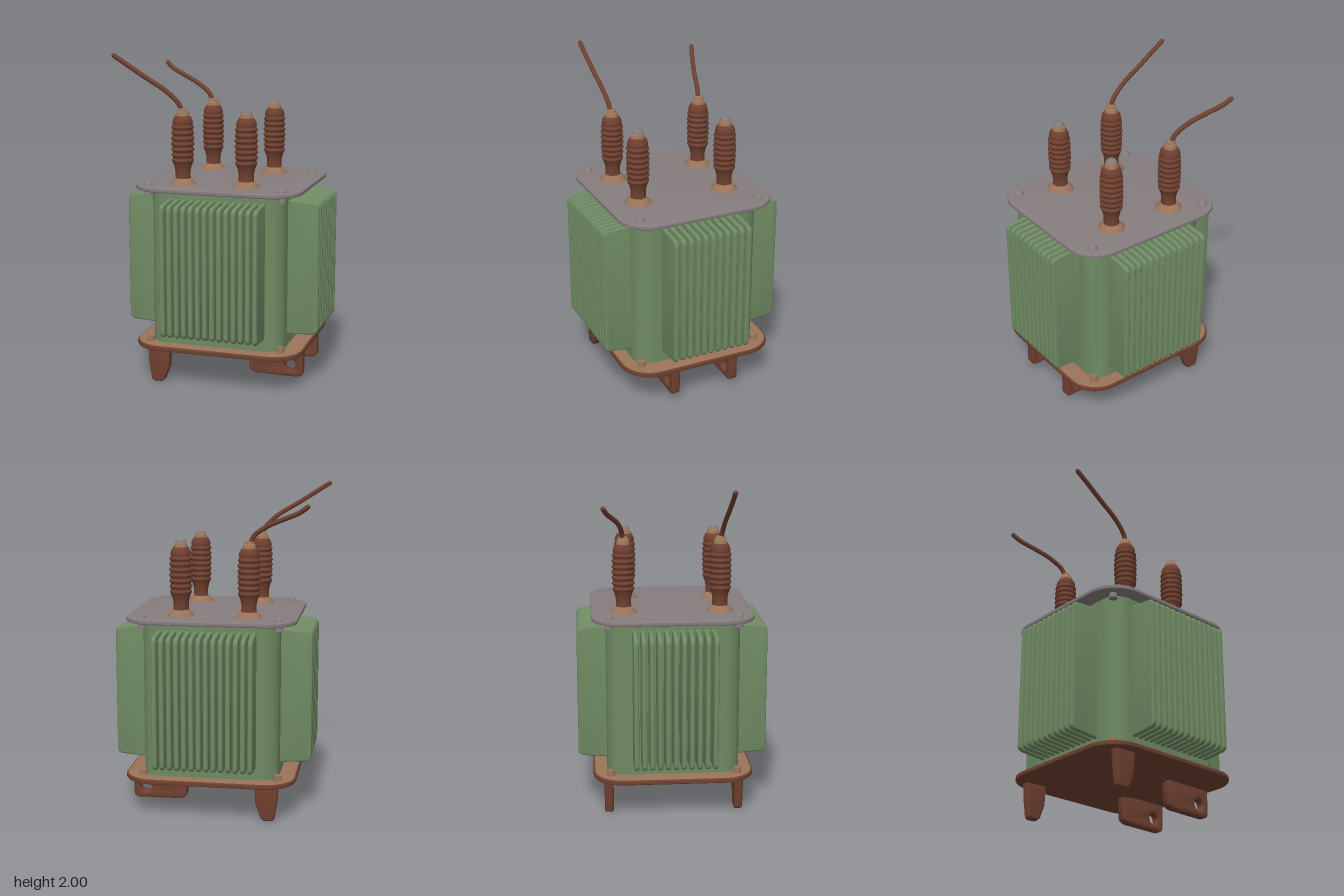
import * as THREE from 'three';
import { toCreasedNormals } from 'three/addons/utils/BufferGeometryUtils.js';

const mat = (name, color) => {
  const m = new THREE.MeshStandardMaterial({ color });
  m.name = name;
  return m;
};

export function createModel() {
  const green = mat('green paint', 0x6f8a63);
  const grey = mat('grey steel', 0x857c7d);
  const rust = mat('rust brown', 0x6f4030);
  const tan = mat('worn tan', 0x997359);
  const CX = 0.03; // centre of the tank in x

  const root = new THREE.Group();
  root.name = 'transformer';
  const add = (parent, name, geometry, material, x = 0, y = 0, z = 0) => {
    const m = new THREE.Mesh(geometry, material);
    m.name = name;
    m.position.set(x, y, z);
    parent.add(m);
    return m;
  };

  // Extrusion centred on its thickness, with a rounded rim inside the outline
  const slab = (shape, thick, bevel) => {
    const g = new THREE.ExtrudeGeometry(shape, {
      depth: thick - 2 * bevel, bevelEnabled: bevel > 0, bevelThickness: bevel,
      bevelSize: bevel, bevelOffset: -bevel, bevelSegments: 3, curveSegments: 10,
    });
    g.translate(0, 0, -thick / 2 + bevel);
    return toCreasedNormals(g, 0.7);
  };
  const roundRect = (w, d, r) => {
    const s = new THREE.Shape(), x = w / 2, y = d / 2;
    s.moveTo(-x + r, -y);
    s.lineTo(x - r, -y);
    s.absarc(x - r, -y + r, r, -Math.PI / 2, 0);
    s.lineTo(x, y - r);
    s.absarc(x - r, y - r, r, 0, Math.PI / 2);
    s.lineTo(-x + r, y);
    s.absarc(-x + r, y - r, r, Math.PI / 2, Math.PI);
    s.lineTo(-x, -y + r);
    s.absarc(-x + r, -y + r, r, Math.PI, Math.PI * 1.5);
    return s;
  };
  const flat = (w, d, r, thick, bevel) => slab(roundRect(w, d, r), thick, bevel).rotateX(-Math.PI / 2);

  // Tank, lid and base plate
  add(root, 'tank', flat(0.83, 0.81, 0.11, 0.96, 0), green, CX, 0.725, 0);
  add(root, 'lid', flat(1.035, 0.98, 0.19, 0.028, 0.01), grey, CX, 1.211, 0);
  add(root, 'basePlate', flat(1.05, 0.98, 0.19, 0.03, 0.01), rust, CX + 0.005, 0.233, 0);
  add(root, 'basePlateTop', flat(1.03, 0.96, 0.18, 0.008, 0.002), tan, CX + 0.005, 0.246, 0);
  add(root, 'baseDisc', new THREE.CylinderGeometry(0.27, 0.26, 0.012, 40), rust, CX, 0.214, 0);

  // Cooling fins: profile runs outward along +x from the tank wall
  const finShape = (reach) => {
    const s = new THREE.Shape();
    s.moveTo(-0.02, 0.32);
    s.lineTo(reach - 0.035, 0.333);
    s.quadraticCurveTo(reach, 0.336, reach, 0.37);
    s.lineTo(reach, 1.1);
    s.quadraticCurveTo(reach, 1.138, reach - 0.035, 1.142);
    s.lineTo(-0.02, 1.155);
    s.closePath();
    return s;
  };
  const finBank = (name, count, span, wall, reach, angle) => {
    const bank = new THREE.Group();
    bank.name = name;
    bank.position.x = CX;
    bank.rotation.y = angle;
    const g = slab(finShape(reach), 0.03, 0.012);
    for (let i = 0; i < count; i++) {
      add(bank, 'fin', g, green, wall, 0, span * (i / (count - 1) - 0.5));
    }
    root.add(bank);
  };
  finBank('leftFins', 11, 0.47, 0.415, 0.19, 0);
  finBank('rightFins', 11, 0.47, 0.415, 0.19, Math.PI);
  finBank('frontFins', 14, 0.57, 0.405, 0.175, -Math.PI / 2);
  finBank('backFins', 14, 0.57, 0.405, 0.175, Math.PI / 2);
  for (const n of ['frontFins', 'backFins']) root.getObjectByName(n).position.x = 0.045;

  // Corner bolts on the lid, with nuts beneath it and on the base plate
  const boltHead = new THREE.SphereGeometry(0.03, 16, 8, 0, Math.PI * 2, 0, Math.PI / 2);
  const nut = new THREE.CylinderGeometry(0.022, 0.026, 0.035, 12);
  for (const x of [-0.385, 0.44]) {
    for (const z of [-0.385, 0.385]) {
      add(root, 'lidBolt', boltHead, grey, x, 1.22, z);
      add(root, 'lidNut', nut, grey, x, 1.182, z);
      add(root, 'baseNut', nut, tan, x, 0.266, z);
    }
  }

  // Tapered feet on one side, drilled brackets on the other
  const poly = (pts) => new THREE.Shape(pts.map(([x, y]) => new THREE.Vector2(x, y)));
  const foot = slab(poly([[-0.37, 0.012], [-0.355, 0], [-0.305, 0], [-0.288, 0.015],
    [-0.255, 0.1], [-0.248, 0.225], [-0.392, 0.225], [-0.388, 0.14]]), 0.054, 0.012);
  const bracketShape = new THREE.Shape();
  bracketShape.moveTo(0.2, 0.225);
  bracketShape.lineTo(0.2, 0.08);
  bracketShape.quadraticCurveTo(0.21, 0.052, 0.25, 0.047);
  bracketShape.lineTo(0.5, 0.045);
  bracketShape.quadraticCurveTo(0.538, 0.045, 0.54, 0.08);
  bracketShape.lineTo(0.54, 0.225);
  bracketShape.closePath();
  const hole = new THREE.Path();
  hole.absarc(0.46, 0.12, 0.034, 0, Math.PI * 2, true);
  bracketShape.holes.push(hole);
  const bracket = slab(bracketShape, 0.056, 0.012);
  for (const s of [1, -1]) {
    add(root, 'foot', foot, rust, 0, 0, s * 0.397);
    add(root, 'bracket', bracket, rust, 0, 0, s * 0.197);
  }

  // Ribbed bushings
  const lathe = (pts, seg = 28) =>
    new THREE.LatheGeometry(pts.map(([r, y]) => new THREE.Vector2(r, y)), seg);
  const body = [[0.05, 0.025], [0.046, 0.05], [0.046, 0.085], [0.052, 0.115], [0.06, 0.135]];
  const ribs = 7;
  for (let i = 0; i <= ribs * 6; i++) {
    const t = i / (ribs * 6);
    const swell = 0.062 + 0.004 * Math.sin(Math.PI * t);
    body.push([swell + 0.0045 * Math.sin(t * ribs * Math.PI * 2), 0.14 + 0.235 * t]);
  }
  body.push([0.058, 0.395], [0.046, 0.415], [0.036, 0.422], [0, 0.424]);
  const bodyGeo = lathe(body);
  const collarGeo = lathe([[0.085, -0.005], [0.08, 0.01], [0.062, 0.027], [0.05, 0.04], [0.04, 0.045]]);
  const capGeo = lathe([[0.044, 0.412], [0.038, 0.43], [0.034, 0.447], [0, 0.45]]);
  const tipGeo = lathe([[0.031, 0.435], [0.031, 0.452], [0.024, 0.461], [0, 0.464]]);
  for (const [x, z, wired] of [[-0.195, -0.293, 1], [-0.2, 0.29, 1], [0.22, -0.27, 0], [0.197, 0.29, 0]]) {
    const b = new THREE.Group();
    b.name = 'bushing';
    b.position.set(x, 1.22, z);
    add(b, 'bushingCollar', collarGeo, tan);
    add(b, 'bushingBody', bodyGeo, rust);
    add(b, 'bushingCap', capGeo, tan);
    add(b, 'bushingTip', tipGeo, wired ? tan : grey);
    root.add(b);
  }

  // Loose wires, closed by small round ends
  const wire = (name, pts) => {
    const v = pts.map((p) => new THREE.Vector3(...p));
    add(root, name, new THREE.TubeGeometry(new THREE.CatmullRomCurve3(v), 40, 0.0145, 10), rust);
    add(root, name + 'End', new THREE.SphereGeometry(0.0145, 10, 8), rust, ...pts[pts.length - 1]);
  };
  wire('frontWire', [[-0.2, 1.66, 0.295], [-0.225, 1.715, 0.3], [-0.3, 1.785, 0.308],
    [-0.43, 1.865, 0.315], [-0.54, 1.935, 0.32], [-0.622, 1.987, 0.322]]);
  wire('backWire', [[-0.2, 1.66, -0.295], [-0.225, 1.715, -0.302], [-0.31, 1.775, -0.325],
    [-0.41, 1.82, -0.36], [-0.5, 1.86, -0.395], [-0.548, 1.895, -0.415]]);

  return root;
}
